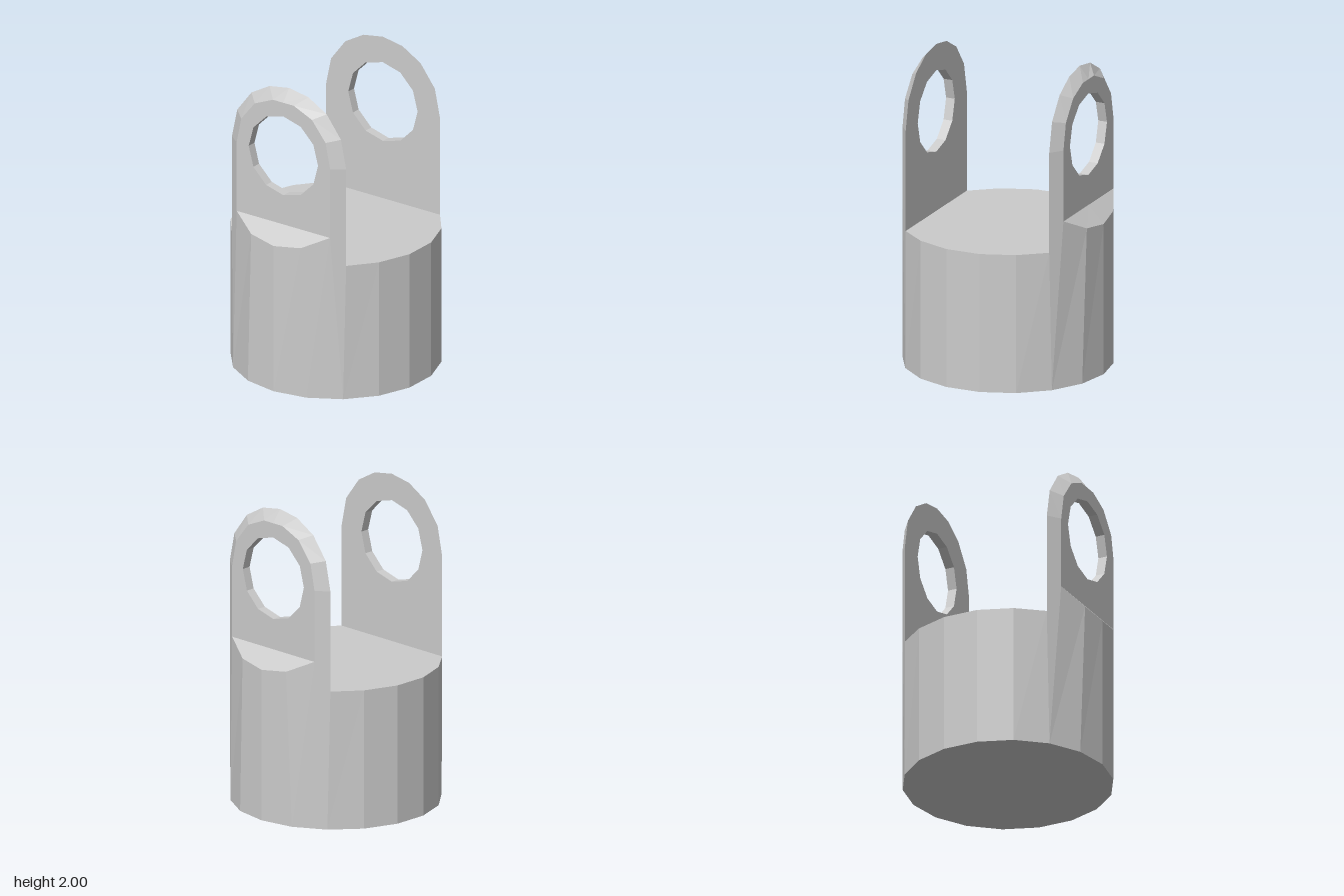
import * as THREE from 'three';

const R = 0.66, DECK = 0.905, EYE_Y = 1.56, HOLE_R = 0.267;
const Z_IN = 0.495, Z_OUT = 0.555, W_IN = 0.44, W_OUT = 0.36, SILL = 1.095;
const V = (x, y, z) => new THREE.Vector3(x, y, z);
const material = new THREE.MeshStandardMaterial({ color: 0xcccccc, flatShading: true });

function mesh(name, geometry) {
  const m = new THREE.Mesh(geometry, material);
  m.name = name;
  return m;
}

// Faceted band between two point lists of equal length
function strip(a, b) {
  const pts = [];
  const tri = (p, q, r) => {
    if (!p.equals(q) && !q.equals(r) && !r.equals(p)) pts.push(p, q, r);
  };
  for (let i = 0; i < a.length - 1; i++) {
    tri(a[i], a[i + 1], b[i + 1]);
    tri(a[i], b[i + 1], b[i]);
  }
  const g = new THREE.BufferGeometry().setFromPoints(pts);
  g.computeVertexNormals();
  return g;
}

// Mirrors a right-hand list of [x, y, z] into a full list running from -x to +x
function mirrored(right) {
  const left = right.filter(p => p[0] > 0).map(p => V(-p[0], p[1], p[2])).reverse();
  return [...left, ...right.map(p => V(...p))];
}

function rimPoint(deg, y) {
  const t = THREE.MathUtils.degToRad(deg);
  return V(R * Math.sin(t), y, R * Math.cos(t));
}

function holePoints(z) {
  return Array.from({ length: 13 }, (_, i) => {
    const t = (i % 12) * Math.PI / 6;
    return V(HOLE_R * Math.cos(t), EYE_Y + HOLE_R * Math.sin(t), z);
  });
}

// Flat lug face with its round eye
function eyeFace(arch, bottomY) {
  const pts = arch.map(p => new THREE.Vector2(p.x, p.y));
  const w = arch[arch.length - 1].x;
  pts.push(new THREE.Vector2(w, bottomY), new THREE.Vector2(-w, bottomY));
  const shape = new THREE.Shape(pts);
  const hole = holePoints(0).slice(0, 12).map(p => new THREE.Vector2(p.x, p.y));
  shape.holes.push(new THREE.Path(hole));
  return new THREE.ShapeGeometry(shape);
}

// Half of the drum wall together with the lug that rises from it
function createHalf() {
  const half = new THREE.Group();

  // Wall: regular foot, upper edge rising to the lug
  const foot = [-80, -60, -40, -40, -20, 0, 20, 40, 40, 60, 80, 100].map(d => rimPoint(d, 0));
  const ledgeEdge = mirrored([[0, 0.985, R], [0.19, 1.01, 0.635], [W_OUT, SILL, Z_OUT]]);
  const top = [
    rimPoint(-80, DECK), rimPoint(-60, DECK), V(-W_IN, DECK, Z_IN),
    ...ledgeEdge,
    V(W_IN, DECK, Z_IN), rimPoint(60, DECK), rimPoint(80, DECK), rimPoint(100, DECK),
  ];
  half.add(mesh('drumWall', strip(foot, top)));

  // Sloping ledge in front of the lug
  const sill = ledgeEdge.map(p => V(p.x, SILL, Z_OUT));
  half.add(mesh('ledge', strip(ledgeEdge, sill)));

  // Lug faces
  const archIn = mirrored([
    [0, 2, Z_IN], [0.15, 1.975, Z_IN], [0.29, 1.895, Z_IN], [0.4, 1.75, Z_IN], [W_IN, EYE_Y, Z_IN],
  ]);
  const archOut = mirrored([
    [0, 1.92, Z_OUT], [0.08, 1.92, Z_OUT], [0.22, 1.86, Z_OUT], [0.325, 1.73, Z_OUT], [W_OUT, EYE_Y, Z_OUT],
  ]);
  half.add(mesh('lugOuterFace', eyeFace(archOut, SILL).translate(0, 0, Z_OUT)));
  half.add(mesh('lugInnerFace', eyeFace(archIn, DECK).rotateY(Math.PI).translate(0, 0, Z_IN)));

  // Bevelled lug edge: straight flanks and arch
  const edgeOut = [V(-W_OUT, SILL, Z_OUT), ...archOut, V(W_OUT, SILL, Z_OUT)];
  const edgeIn = [V(-W_IN, DECK, Z_IN), ...archIn, V(W_IN, DECK, Z_IN)];
  half.add(mesh('lugEdge', strip(edgeOut, edgeIn)));

  // Inside of the eye
  half.add(mesh('eyeWall', strip(holePoints(Z_OUT), holePoints(Z_IN))));
  return half;
}

export function createModel() {
  const model = new THREE.Group();
  model.name = 'clevis';

  const front = createHalf();
  front.name = 'frontHalf';
  const back = createHalf();
  back.name = 'backHalf';
  back.rotation.y = Math.PI;
  model.add(front, back);

  // Flat deck between the lugs
  const right = [V(W_IN, 0, -Z_IN), rimPoint(120, 0), rimPoint(100, 0),
    rimPoint(80, 0), rimPoint(60, 0), V(W_IN, 0, Z_IN)];
  const outline = [...right, ...right.map(p => V(-p.x, 0, -p.z))];
  const deck = new THREE.ShapeGeometry(new THREE.Shape(outline.map(p => new THREE.Vector2(p.x, p.z))));
  model.add(mesh('deck', deck.rotateX(-Math.PI / 2).translate(0, DECK, 0)));

  // Underside
  const base = new THREE.CircleGeometry(R, 18, Math.PI / 18);
  model.add(mesh('base', base.rotateX(Math.PI / 2)));
  return model;
}
